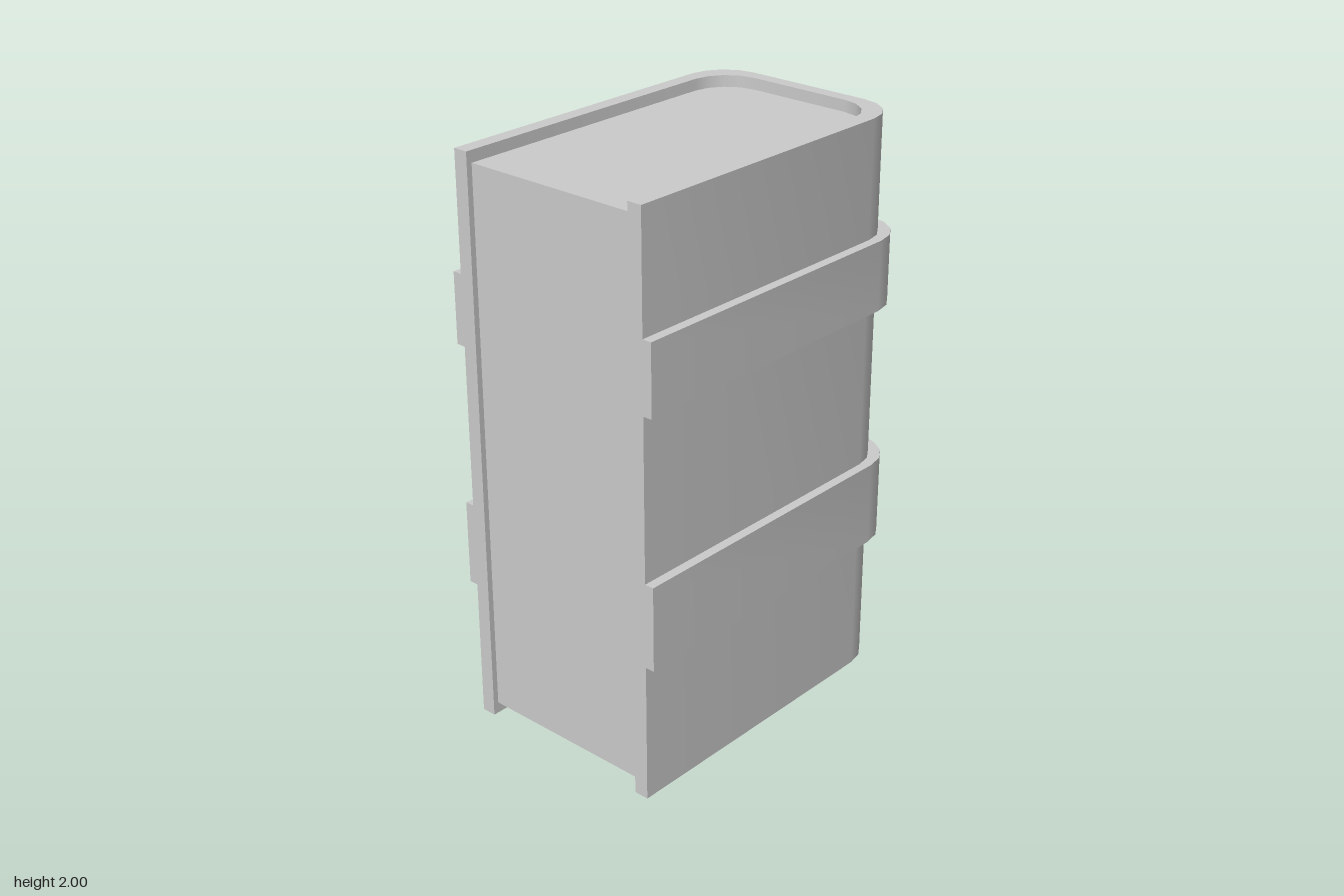
import * as THREE from 'three';

const material = new THREE.MeshStandardMaterial({ color: 0xcccccc, side: THREE.DoubleSide });
const CORNER_STEPS = 4;
const OPEN_END = -0.625;

// Outline points from the open end, around the two rounded corners, and back
function outline(left, right, half, radius) {
  const points = [new THREE.Vector2(left, -half)];
  for (const side of [-1, 1]) {
    for (let i = 0; i <= CORNER_STEPS; i++) {
      const t = (i / CORNER_STEPS) * Math.PI / 2;
      const a = side < 0 ? t - Math.PI / 2 : t;
      points.push(new THREE.Vector2(
        right - radius + radius * Math.cos(a),
        side * (half - radius) + radius * Math.sin(a)));
    }
  }
  points.push(new THREE.Vector2(left, half));
  return points;
}

// Upright extrusion with smooth corners and crisp edges
function upright(name, points, bottom, top) {
  const geometry = new THREE.ExtrudeGeometry(new THREE.Shape(points), {
    depth: top - bottom, bevelEnabled: false,
  });
  geometry.rotateX(-Math.PI / 2);
  geometry.translate(0, bottom, 0);
  smoothWalls(geometry);
  const mesh = new THREE.Mesh(geometry, material);
  mesh.name = name;
  return mesh;
}

// Average wall normals that meet at under 35 degrees
function smoothWalls(geometry) {
  const pos = geometry.attributes.position;
  const normal = geometry.attributes.normal;
  const groups = new Map();
  const flat = [];
  for (let i = 0; i < pos.count; i++) {
    flat.push(new THREE.Vector3().fromBufferAttribute(normal, i));
    const key = [pos.getX(i), pos.getY(i), pos.getZ(i)].map((v) => Math.round(v * 1e4)).join();
    if (!groups.has(key)) groups.set(key, []);
    groups.get(key).push(i);
  }
  for (const ids of groups.values()) {
    for (const i of ids) {
      const sum = new THREE.Vector3();
      for (const j of ids) if (flat[i].dot(flat[j]) > Math.cos(0.61)) sum.add(flat[j]);
      sum.normalize();
      normal.setXYZ(i, sum.x, sum.y, sum.z);
    }
  }
}

// U-shaped wall between an outer and an inner outline
function uWall(name, outer, inner, bottom, top) {
  return upright(name, [...outer, ...inner.slice().reverse()], bottom, top);
}

export function createModel() {
  const model = new THREE.Group();
  model.name = 'book';

  const bandLine = outline(OPEN_END, 0.625, 0.413, 0.16);
  const coverLine = outline(OPEN_END, 0.592, 0.38, 0.148);
  const innerLine = outline(OPEN_END, 0.543, 0.328, 0.14);
  const pageLine = outline(-0.605, 0.543, 0.328, 0.14);

  // Cover wrapping round the spine, open at the fore edge
  model.add(uWall('cover', coverLine, innerLine, 0, 2));

  // Page block set back from the cover on three sides
  model.add(upright('pages', pageLine, 0.04, 1.96));

  // Raised bands round the cover
  model.add(uWall('lowerBand', bandLine, coverLine, 0.493, 0.79));
  model.add(uWall('upperBand', bandLine, coverLine, 1.353, 1.597));

  // The book stands slightly turned
  model.rotation.y = -0.041;
  return model;
}
